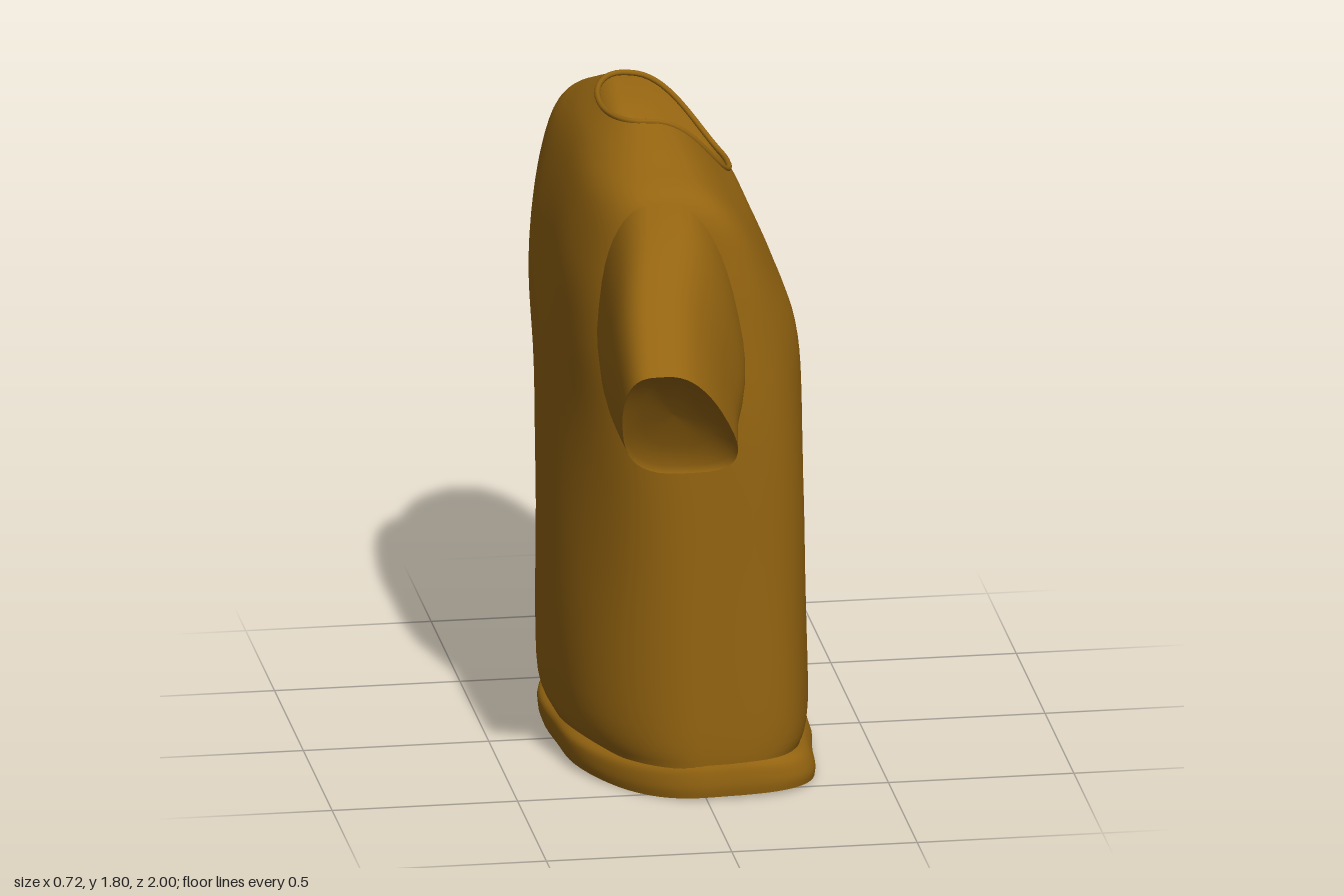
import * as THREE from 'three';

const cloth = new THREE.MeshStandardMaterial({ color: 0x946410, side: THREE.DoubleSide });
cloth.name = 'ochreCloth';

const SEG = 80;
const spow = (v, p) => Math.sign(v) * Math.abs(v) ** p;

// Skin a list of closed rings of points
function loft(name, rings) {
  const n = rings[0].length, pos = [], idx = [];
  rings.forEach((r) => r.forEach((p) => pos.push(p.x, p.y, p.z)));
  for (let i = 0; i < rings.length - 1; i++) {
    for (let j = 0; j < n; j++) {
      const a = i * n + j, b = i * n + (j + 1) % n;
      idx.push(a, a + n, b, b, a + n, b + n);
    }
  }
  const g = new THREE.BufferGeometry();
  g.setAttribute('position', new THREE.Float32BufferAttribute(pos, 3));
  g.setIndex(idx);
  g.computeVertexNormals();
  const mesh = new THREE.Mesh(g, cloth);
  mesh.name = name;
  return mesh;
}

// Smoothly interpolate rows of parameters
function refine(rows, steps) {
  const out = [];
  for (let i = 0; i < rows.length - 1; i++) {
    const [a, b, c, d] = [rows[Math.max(i - 1, 0)], rows[i], rows[i + 1], rows[Math.min(i + 2, rows.length - 1)]];
    for (let s = 0; s < steps; s++) {
      const t = s / steps;
      out.push(b.map((v, k) => 0.5 * (2 * v + (c[k] - a[k]) * t
        + (2 * a[k] - 5 * v + 4 * c[k] - d[k]) * t * t + (3 * v - a[k] - 3 * c[k] + d[k]) * t ** 3)));
    }
  }
  out.push(rows[rows.length - 1]);
  return out;
}

// Body ring: heights and depths at back, side and front, half width,
// then the roundness of the back and front corners
function bodyRing([yb, ys, yf, xb, xs, xf, w, pb, pf]) {
  return Array.from({ length: SEG }, (_, j) => {
    const t = -(j / SEG) * Math.PI * 2, c = Math.cos(t), s = Math.sin(t);
    const [x, y, p, e] = c > 0 ? [xf, yf, pf, 3] : [xb, yb, pb, 2];
    return new THREE.Vector3(
      xs + (x - xs) * Math.abs(c) ** p,
      y + (ys - y) * Math.abs(s) ** e,
      w * spow(s, p) - 0.008);
  });
}

// Soft folds, with one deeper fold low on the front
function crease(p) {
  const fade = THREE.MathUtils.smoothstep(1.6 - p.y, 0, 0.3) * THREE.MathUtils.smoothstep(p.y, 0.08, 0.2);
  p.x += fade * (0.004 * Math.sin(9 * p.z + 5 * p.y) + 0.002 * Math.sin(17 * p.z - 8 * p.y));
  if (p.x > 0.1) p.x += 0.02 * Math.exp(-(((p.y - 0.2 + 0.15 * p.z) / 0.05) ** 2) - ((p.z + 0.1) / 0.25) ** 2);
  return p;
}

const scaleRing = (ring, k, move) => {
  const c = ring.reduce((a, p) => a.add(p), new THREE.Vector3()).divideScalar(ring.length);
  return ring.map((p) => p.clone().lerp(c, 1 - k).add(move));
};

// Sleeve ring: top (z, y), bottom (z, y), centre x at top and bottom, half depth
function sleeveRing([zt, yt, zb, yb, xt, xb, h], side) {
  return Array.from({ length: 40 }, (_, j) => {
    const t = side * (j / 40) * Math.PI * 2;
    const u = (1 + spow(Math.sin(t), 0.8)) / 2;
    const wide = 1.1 - 0.42 * u;
    return new THREE.Vector3(xb + (xt - xb) * u + h * wide * spow(Math.cos(t), 0.65),
      yb + (yt - yb) * u, side * (zb + (zt - zb) * u));
  });
}

function sleeve(name, side, rows) {
  const group = new THREE.Group();
  group.name = name;
  const rings = refine(rows, 5).map((r) => sleeveRing(r, side));
  const cuff = rings[rings.length - 1];
  const inward = (d) => new THREE.Vector3(0, d * 0.5, -side * d);
  group.add(loft(name + 'Cloth', rings));
  // recessed lining closing the cuff
  group.add(loft(name + 'Lining', [cuff, scaleRing(cuff, 0.93, inward(0.015)),
    scaleRing(cuff, 0.6, inward(0.03)), scaleRing(cuff, 0.001, inward(0.035))]));
  return group;
}

export function createModel() {
  const shirt = new THREE.Group();
  shirt.name = 'shirt';

  // torso from the hem up to the neck rim; the back corners round off lower down
  const rim = [1.785, 1.795, 1.6, -0.2, -0.11, 0.145, 0.205, 0.95, 0.85];
  const rows = [
    [0.09, 0.09, 0.09, -0.325, -0.01, 0.3, 0.57, 1.0, 0.53],
    [0.2, 0.2, 0.2, -0.36, -0.02, 0.325, 0.575, 1.0, 0.53],
    [0.6, 0.6, 0.6, -0.36, -0.02, 0.315, 0.572, 0.94, 0.55],
    [1.0, 1.0, 1.0, -0.36, -0.03, 0.305, 0.572, 0.84, 0.56],
    [1.25, 1.25, 1.23, -0.36, -0.05, 0.29, 0.56, 0.72, 0.58],
    [1.45, 1.48, 1.38, -0.345, -0.08, 0.24, 0.545, 0.68, 0.58],
    [1.62, 1.66, 1.49, -0.305, -0.1, 0.195, 0.51, 0.7, 0.64],
    [1.72, 1.735, 1.55, -0.26, -0.11, 0.17, 0.37, 0.85, 0.78],
    rim,
  ];
  shirt.add(loft('torso', refine(rows, 6).map((r) => bodyRing(r).map(crease))));

  // rolled hem with a slightly uneven edge
  const hem = refine([
    [0.1, 0.1, 0.1, -0.32, -0.01, 0.295, 0.57, 1.0, 0.53],
    [0.08, 0.08, 0.08, -0.345, -0.01, 0.325, 0.577, 1.0, 0.52],
    [0.04, 0.04, 0.04, -0.345, -0.01, 0.345, 0.58, 1.0, 0.52],
    [0.01, 0.01, 0.01, -0.335, -0.01, 0.345, 0.575, 1.0, 0.52],
  ], 4).map((r) => bodyRing(r).map((p) => {
    p.x += 0.01 * Math.sin(13 * p.z + 1);
    p.y += 0.006 * Math.sin(11 * p.z + 4 * p.x);
    return p;
  }));
  shirt.add(loft('hem', hem));

  // underside
  const edge = hem[hem.length - 1];
  const up = (y) => new THREE.Vector3(0, y, 0);
  shirt.add(loft('underside', [edge, scaleRing(edge, 0.96, up(0.01)),
    scaleRing(edge, 0.6, up(0.02)), scaleRing(edge, 0.001, up(0.02))]));

  // hollow of the neck
  const neck = bodyRing(rim);
  shirt.add(loft('neckLining', [neck, scaleRing(neck, 0.92, up(-0.03)), scaleRing(neck, 0.75, up(-0.075)),
    scaleRing(neck, 0.4, up(-0.11)), scaleRing(neck, 0.001, up(-0.12))]));

  // collar band
  const path = new THREE.CatmullRomCurve3(neck.filter((_, j) => j % 2 === 0), true);
  const collar = new THREE.Mesh(new THREE.TubeGeometry(path, 72, 0.008, 8, true), cloth);
  collar.name = 'collar';
  shirt.add(collar);

  // the two sleeves hang a little differently
  shirt.add(sleeve('leftSleeve', 1, [
    [0.38, 1.7, 0.46, 1.08, -0.1, -0.07, 0.21],
    [0.6, 1.625, 0.57, 1.035, -0.12, -0.08, 0.205],
    [0.8, 1.5, 0.68, 1.01, -0.165, -0.085, 0.18],
    [1.0, 1.35, 0.78, 1.0, -0.19, -0.08, 0.16],
  ]));
  shirt.add(sleeve('rightSleeve', -1, [
    [0.38, 1.71, 0.48, 1.08, -0.08, -0.04, 0.21],
    [0.6, 1.635, 0.59, 1.04, -0.07, -0.04, 0.21],
    [0.8, 1.5, 0.69, 1.025, -0.06, -0.03, 0.19],
    [1.0, 1.31, 0.79, 1.015, -0.05, -0.03, 0.145],
  ]));
  return shirt;
}
